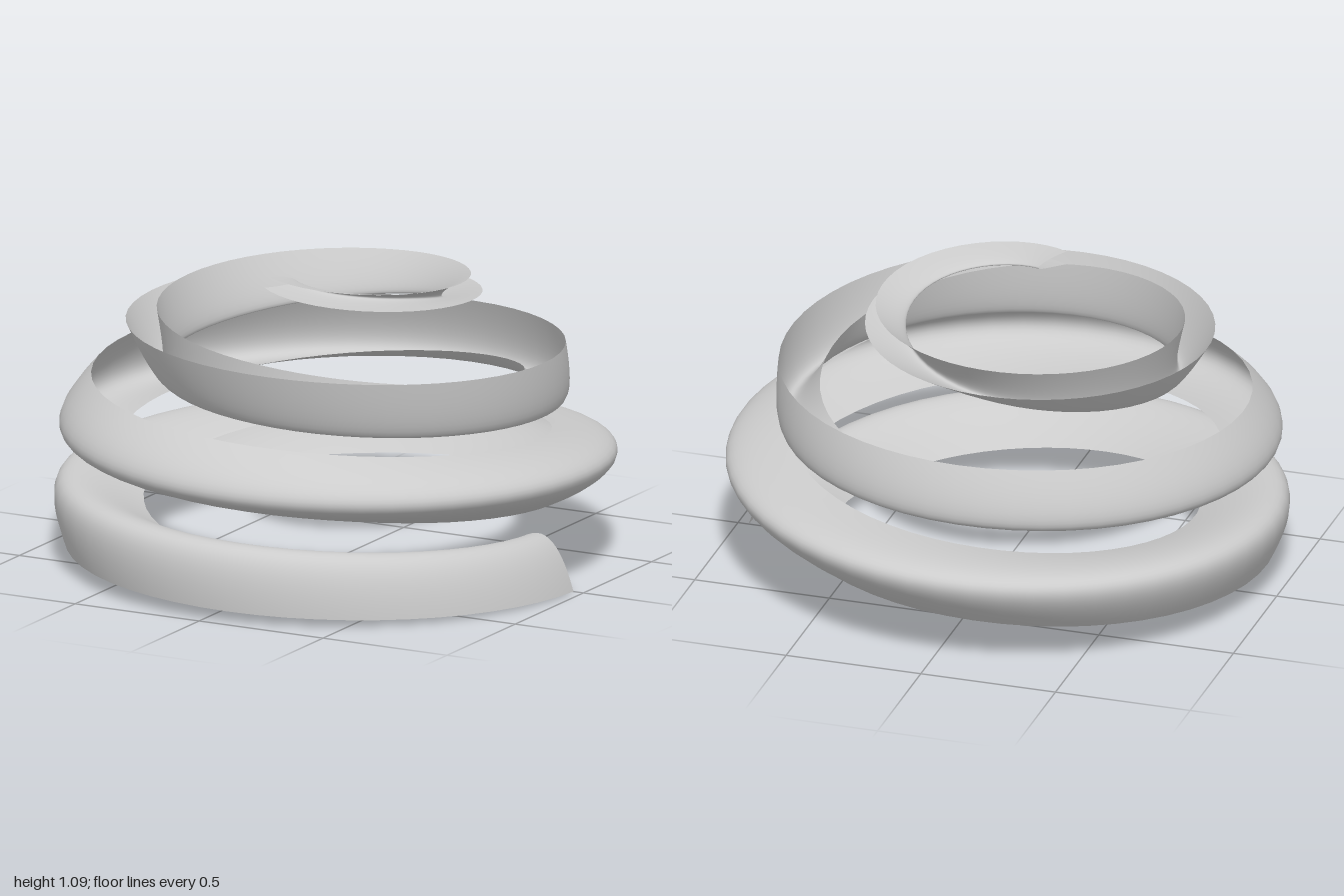
import * as THREE from 'three';
import { ParametricGeometry } from 'three/addons/geometries/ParametricGeometry.js';

// Rails of the ribbon as [radius, height], one entry per quarter turn, plus the tip
const firstEdge = [[.655, .06], [.66, .14], [.69, .26], [.735, .4], [.78, .52], [.835, .62], [.87, .695],
  [.845, .76], [.8, .8], [.77, .86], [.72, .9], [.605, .93], [.47, .98], [.318, 1.04]];
const crest = [[.83, .195], [.91, .265], [.98, .315], [.997, .37], [.995, .42], [.985, .455], [.96, .5],
  [.882, .55], [.77, .59], [.675, .655], [.588, .74], [.46, .865], [.325, .99], [.206, 1.055]];
const secondEdge = [[.96, 0], [.965, .04], [.945, .09], [.87, .18], [.8, .275], [.77, .375], [.75, .48],
  [.705, .6], [.655, .73], [.645, .865], [.62, .95], [.545, 1.0], [.44, 1.04], [.318, 1.09]];

// A rail as a smooth curve in (radius, height, angle) space
function rail(points, tipAngle) {
  const last = points.length - 1;
  return new THREE.CatmullRomCurve3(points.map(([r, y], i) =>
    new THREE.Vector3(r, y, i < last ? i * Math.PI / 2 : tipAngle)));
}

export function createModel() {
  const group = new THREE.Group();
  group.name = 'spiralSpring';

  const a = rail(firstEdge, 6.63 * Math.PI);
  const c = rail(crest, 6.58 * Math.PI);
  const b = rail(secondEdge, 6.63 * Math.PI);
  const pa = new THREE.Vector3(), pb = new THREE.Vector3(), pc = new THREE.Vector3();

  // Parabolic cross-section from edge over crest to edge, wound about the y axis
  const surface = (u, v, target) => {
    a.getPoint(u, pa);
    b.getPoint(u, pb);
    c.getPoint(u, pc);
    const wa = (1 - v) * (1 - 2 * v), wb = v * (2 * v - 1), wc = 4 * v * (1 - v);
    const mix = k => wa * pa[k] + wb * pb[k] + wc * pc[k];
    const r = mix('x'), angle = mix('z');
    target.set(r * Math.cos(angle), mix('y'), r * Math.sin(angle));
  };

  const ribbon = new THREE.Mesh(
    new ParametricGeometry(surface, 180, 18),
    new THREE.MeshStandardMaterial({ color: 0xcccccc, side: THREE.DoubleSide }));
  ribbon.name = 'coiledRibbon';
  group.add(ribbon);
  return group;
}
